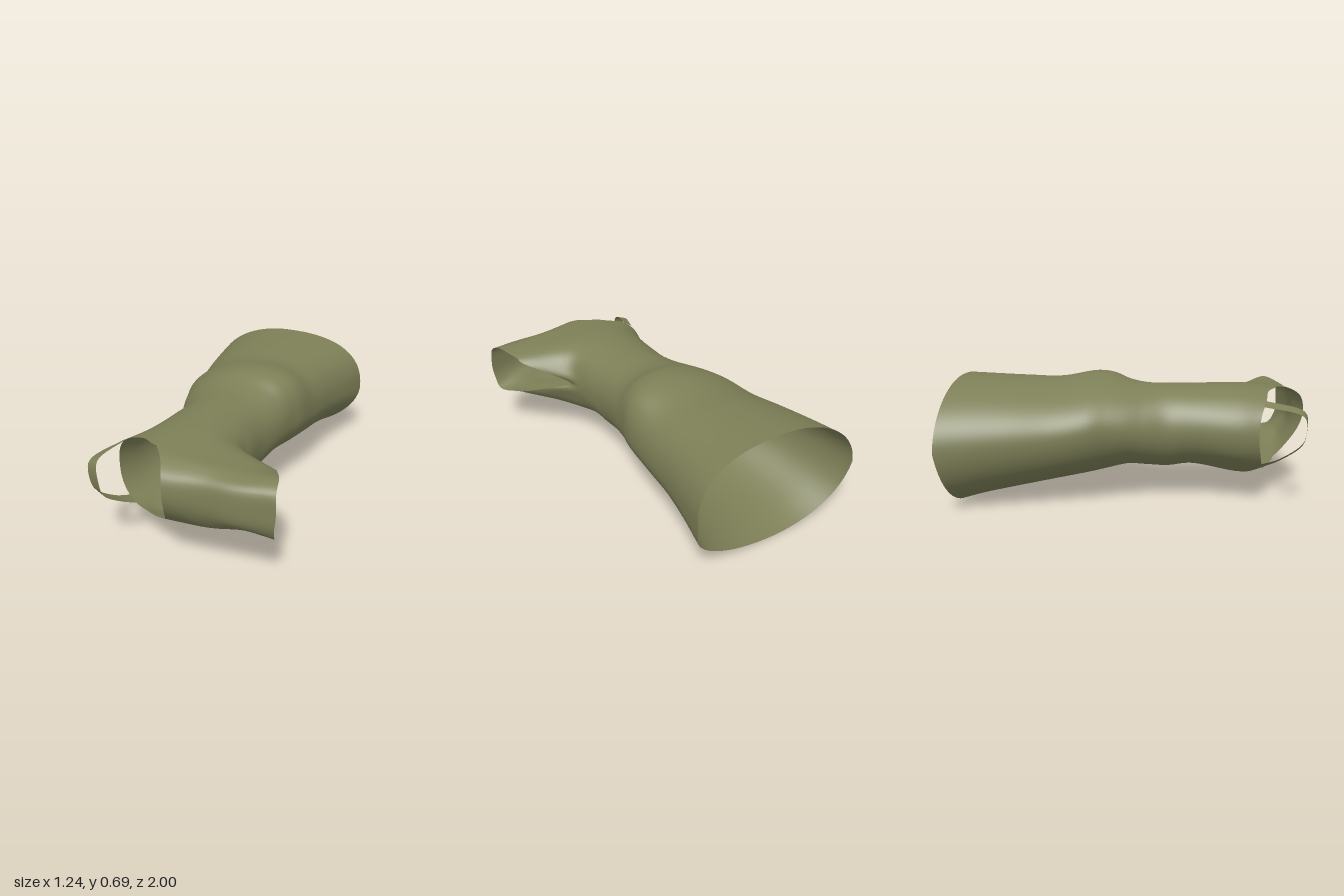
import * as THREE from 'three';
import { mergeGeometries, mergeVertices } from 'three/addons/utils/BufferGeometryUtils.js';

const vec = (p) => new THREE.Vector3(...p);
const curve = (pts, closed = false) =>
  new THREE.CatmullRomCurve3(pts.map((p) => (p.isVector3 ? p : vec(p))), closed);

// Leg tube cross-sections: z, left x, right x, bottom y, top y,
// sideways shift of the bottom and of the top, roundness of the lower and upper right corner
const RINGS = [
  [-0.95, -0.62, 0.41, 0.0, 0.68, -0.075, 0.01, 1, 0.78],
  [-0.78, -0.58, 0.365, 0.035, 0.675, -0.065, 0.02, 1, 0.82],
  [-0.6, -0.54, 0.335, 0.07, 0.668, -0.05, 0.04, 1, 0.88],
  [-0.4, -0.49, 0.32, 0.105, 0.662, -0.035, 0.06, 1, 0.92],
  [-0.2, -0.45, 0.31, 0.14, 0.69, -0.02, 0.1, 1, 0.92],
  [-0.1, -0.41, 0.285, 0.16, 0.683, -0.01, 0.08, 0.95, 0.92],
  [0, -0.375, 0.265, 0.178, 0.65, 0, 0.03, 0.92, 0.92],
  [0.1, -0.335, 0.248, 0.17, 0.632, 0, 0.01, 0.9, 0.92],
  [0.22, -0.295, 0.237, 0.16, 0.63, 0, 0, 0.85, 0.9],
  [0.35, -0.295, 0.25, 0.175, 0.63, 0, 0, 0.82, 0.9],
];

// Ankle loop, sixteen points from the right side over the top
const ANKLE = curve([
  [0.265, 0.4, 0.43], [0.27, 0.48, 0.48], [0.25, 0.56, 0.54], [0.14, 0.615, 0.58],
  [-0.02, 0.63, 0.6], [-0.13, 0.615, 0.6], [-0.22, 0.575, 0.6], [-0.3, 0.49, 0.6],
  [-0.325, 0.4, 0.6], [-0.3, 0.29, 0.6], [-0.22, 0.2, 0.62], [-0.14, 0.15, 0.66],
  [0, 0.163, 0.65], [0.18, 0.172, 0.61], [0.265, 0.225, 0.57], [0.275, 0.32, 0.49],
], true);

// End loop: toe rim, top seam, heel rim, bottom seam, toe rim
const END = curve([
  [0.28, 0.4, 0.5], [0.41, 0.48, 0.575], [0.53, 0.555, 0.695], [0.25, 0.598, 0.77],
  [-0.04, 0.62, 0.825], [-0.15, 0.61, 0.77], [-0.26, 0.575, 0.75], [-0.33, 0.5, 0.72],
  [-0.35, 0.4, 0.71], [-0.33, 0.3, 0.72], [-0.26, 0.215, 0.74], [-0.15, 0.19, 0.77],
  [-0.03, 0.21, 0.82], [0.28, 0.26, 0.8], [0.51, 0.295, 0.75], [0.4, 0.345, 0.615],
], true);

// Sole band rows from top to bottom: toe rim, outer, inner, heel rim
const SOLE = [
  [[0.595, 0.59, 0.82], [0.42, 0.583, 0.86], [0.26, 0.59, 0.875], [0.025, 0.605, 0.9]],
  [[0.613, 0.555, 0.89], [0.42, 0.55, 0.93], [0.26, 0.545, 0.94], [0.075, 0.55, 0.98]],
  [[0.62, 0.45, 0.905], [0.42, 0.45, 0.948], [0.26, 0.45, 0.957], [0.085, 0.46, 1.0]],
  [[0.61, 0.36, 0.9], [0.42, 0.365, 0.935], [0.26, 0.36, 0.94], [0.078, 0.37, 0.975]],
  [[0.595, 0.293, 0.86], [0.45, 0.306, 0.87], [0.28, 0.28, 0.885], [0.035, 0.275, 0.9]],
];

// Two edges of the heel strap
const STRAP = [
  [[-0.3, 0.55, 0.73], [-0.36, 0.525, 0.91], [-0.365, 0.5, 0.945], [-0.357, 0.42, 0.953],
    [-0.345, 0.36, 0.935], [-0.315, 0.27, 0.82], [-0.285, 0.23, 0.725]],
  [[-0.26, 0.575, 0.75], [-0.305, 0.54, 0.93], [-0.305, 0.51, 0.96], [-0.297, 0.42, 0.965],
    [-0.29, 0.34, 0.945], [-0.265, 0.25, 0.83], [-0.235, 0.205, 0.745]],
];

const bend = (v, p) => Math.sign(v) * Math.abs(v) ** p;

function ringPoint([z, xl, xr, yb, yt, low, high, roundLow, roundHigh], u, isHem) {
  const cos = Math.cos(u * Math.PI * 2), sin = Math.sin(u * Math.PI * 2);
  const p = cos < 0 ? 1 : sin < 0 ? roundLow : roundHigh;
  const c = bend(cos, p), s = bend(sin, p);
  const shift = s * s * (s < 0 ? low : high);
  const hem = -0.93 - 0.02 * s - (0.055 + 0.015 * c) * (1 - Math.abs(s));
  return new THREE.Vector3((xl + xr) / 2 + c * (xr - xl) / 2 + shift,
    (yb + yt) / 2 + s * (yt - yb) / 2, isHem ? hem : z);
}

// Surface through columns of points
function sheet(columns) {
  const rows = columns[0].length, pos = [], index = [];
  columns.forEach((col) => col.forEach((p) => pos.push(p.x, p.y, p.z)));
  for (let j = 0; j < columns.length - 1; j++) {
    for (let i = 0; i < rows - 1; i++) {
      const a = j * rows + i, b = a + rows;
      index.push(a, b, a + 1, b, b + 1, a + 1);
    }
  }
  const g = new THREE.BufferGeometry();
  g.setAttribute('position', new THREE.Float32BufferAttribute(pos, 3));
  g.setIndex(index);
  return g;
}

export function createModel() {
  const group = new THREE.Group();
  const olive = new THREE.MeshStandardMaterial({ color: 0x7d7f57, side: THREE.DoubleSide });
  olive.name = 'olive fabric';
  const add = (geometry, name) => {
    geometry.computeVertexNormals();
    const mesh = new THREE.Mesh(geometry, olive);
    mesh.name = name;
    group.add(mesh);
  };

  // Leg tube, flowing into the heel and toe rims
  const N = 96, leg = [];
  for (let j = 0; j <= N; j++) {
    const u = (j % N) / N;
    const pts = RINGS.map((r, i) => ringPoint(r, u, i === 0));
    pts.push(ANKLE.getPoint(u), END.getPoint(u));
    leg.push(curve(pts).getPoints(72));
  }

  // Sole band, joined to the leg along the top and bottom seams
  const rows = SOLE.map((r) => curve(r)), sole = [], span = N / 8;
  for (let k = 0; k <= span; k++) {
    const t = k / span;
    const pts = [END.getPoint((2 + 2 * t) / 16), ...rows.map((r) => r.getPoint(t)), END.getPoint((14 - 2 * t) / 16)];
    sole.push(curve(pts).getPoints(36));
  }
  add(mergeVertices(mergeGeometries([sheet(leg), sheet(sole)]), 1e-4), 'sleeve');

  // Narrow strap behind the heel opening
  add(sheet(STRAP.map((edge) => curve(edge).getPoints(36))), 'heelStrap');
  return group;
}
